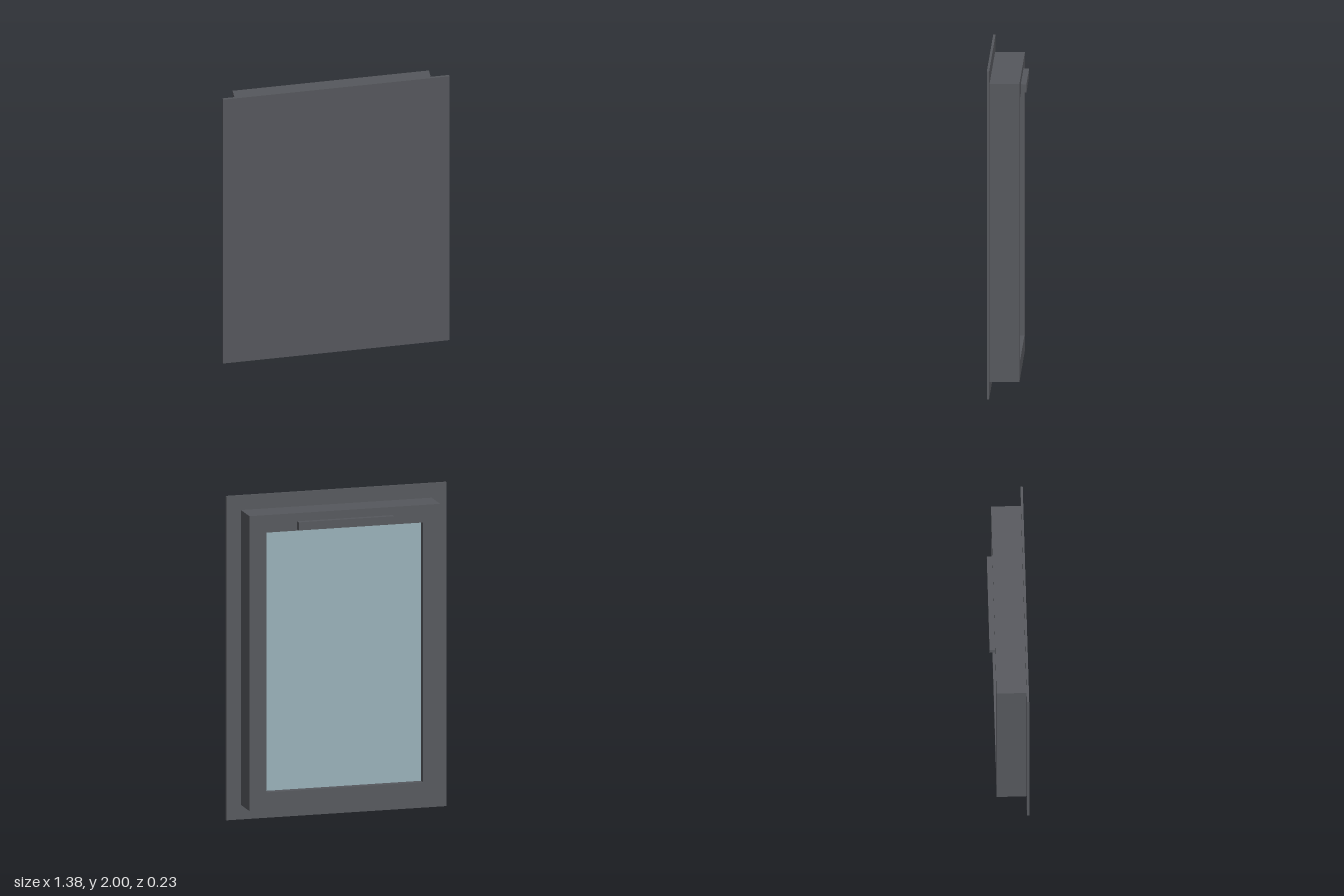
import * as THREE from 'three';

export function createModel() {
  const model = new THREE.Group();
  const frameGrey = new THREE.MeshStandardMaterial({ color: 0x55575c });
  const paleGlass = new THREE.MeshStandardMaterial({ color: 0x98b0b8 });

  const addBox = (name, material, size, position) => {
    const mesh = new THREE.Mesh(new THREE.BoxGeometry(...size), material);
    mesh.name = name;
    mesh.position.set(...position);
    model.add(mesh);
  };

  // Thin flange plate covering the whole front
  addBox('frontPlate', frameGrey, [1.384, 2, 0.014], [0, 1, 0.107]);

  // Deep rectangular casing, open in the middle
  const halfW = 0.6, halfH = 0.91, border = 0.108;
  const rectangle = (path, w, h) => path
    .moveTo(-w, -h).lineTo(w, -h).lineTo(w, h).lineTo(-w, h).closePath();
  const outline = new THREE.Shape();
  rectangle(outline, halfW, halfH);
  const opening = new THREE.Path();
  rectangle(opening, halfW - border, halfH - border);
  outline.holes.push(opening);
  const casing = new THREE.Mesh(
    new THREE.ExtrudeGeometry(outline, { depth: 0.18, bevelEnabled: false }),
    frameGrey
  );
  casing.name = 'casing';
  casing.position.set(0, 1, -0.08);
  model.add(casing);

  // Glass pane recessed into the back of the casing
  addBox('glassPane', paleGlass,
    [2 * (halfW - border), 2 * (halfH - border), 0.02], [0, 1, -0.025]);

  // Grip bar above the pane
  addBox('gripBar', frameGrey, [0.6, 0.05, 0.034], [0, 1.835, -0.097]);

  return model;
}
